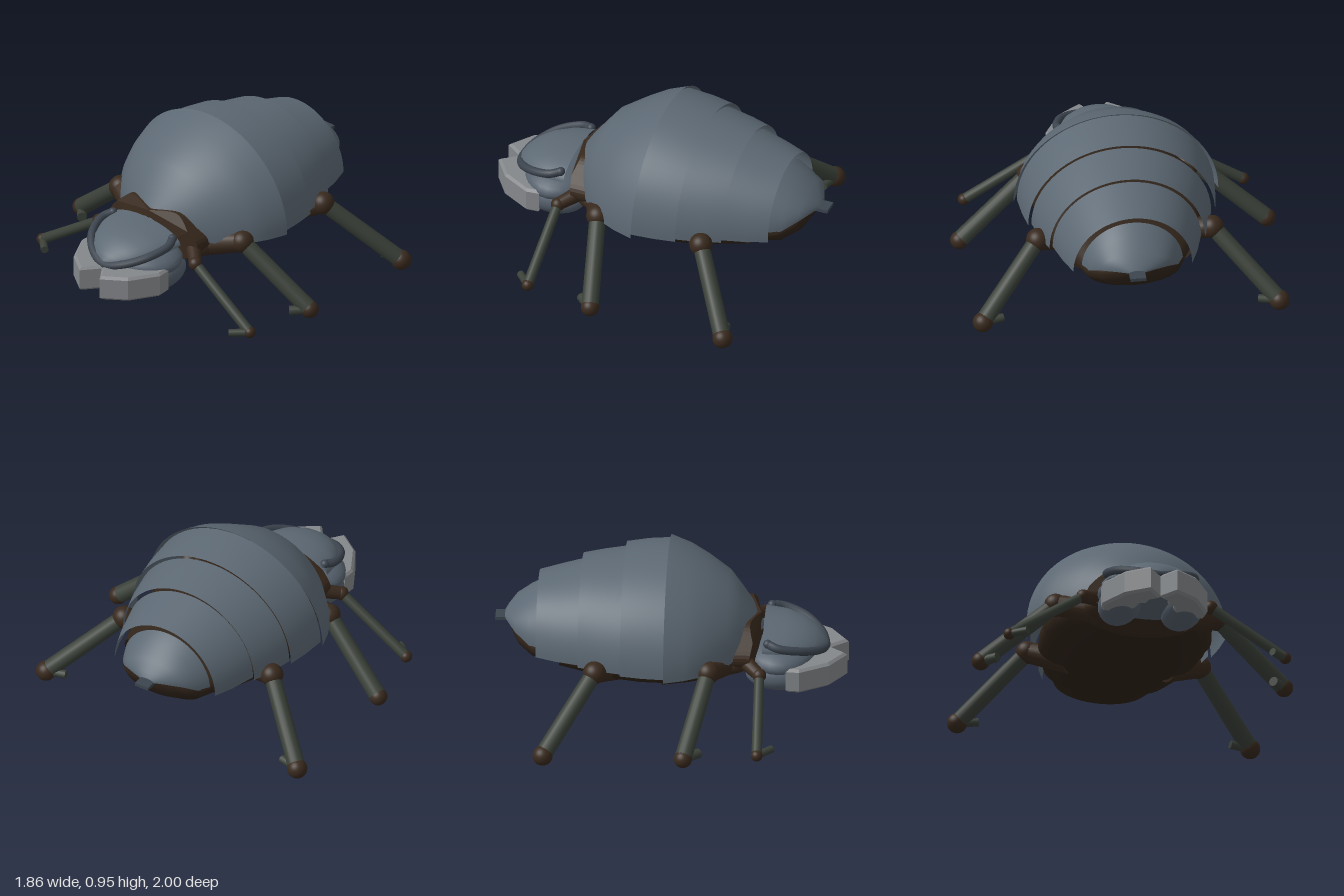
import * as THREE from 'three';

const mat = (color, extra = {}) => new THREE.MeshStandardMaterial({ color, ...extra });
const SHELL = mat(0x5c6873, { side: THREE.DoubleSide });
const HEAD = mat(0x56616d);
const RIM = mat(0x3c444e);
const BROWN = mat(0x38291d);
const BELLY = mat(0x30241a, { side: THREE.DoubleSide });
const LEG = mat(0x3a4038);
const JAW = mat(0x85888b);

// Skin of elliptical sections [z, centreY, halfWidth, height], listed front to back
function loft(sections, from, to, steps = 40) {
  const pos = [], idx = [];
  sections.forEach(([z, yc, w, h], i) => {
    for (let j = 0; j <= steps; j++) {
      const t = from + (to - from) * j / steps;
      pos.push(w * Math.cos(t), yc + h * Math.sin(t), z);
      if (i < sections.length - 1 && j < steps) {
        const a = i * (steps + 1) + j, d = a + steps + 1;
        idx.push(a, d, a + 1, a + 1, d, d + 1);
      }
    }
  });
  const g = new THREE.BufferGeometry();
  g.setAttribute('position', new THREE.Float32BufferAttribute(pos, 3));
  g.setIndex(idx);
  g.computeVertexNormals();
  return g;
}

export function createModel() {
  const model = new THREE.Group();
  const add = (name, geo, material, parent = model) => {
    const m = new THREE.Mesh(geo, material);
    m.name = name;
    parent.add(m);
    return m;
  };
  const ball = (name, p, r, material, parent) => {
    const m = add(name, new THREE.SphereGeometry(1, 28, 18), material, parent);
    m.position.set(...p);
    Array.isArray(r) ? m.scale.set(...r) : m.scale.setScalar(r);
    return m;
  };
  const rod = (name, p, q, r0, r1, material, parent) => {
    const a = new THREE.Vector3(...p), b = new THREE.Vector3(...q), d = b.clone().sub(a);
    const m = add(name, new THREE.CylinderGeometry(r1, r0, d.length(), 16), material, parent);
    m.position.copy(a).add(b).multiplyScalar(0.5);
    m.quaternion.setFromUnitVectors(new THREE.Vector3(0, 1, 0), d.normalize());
    return m;
  };

  // Overlapping back plates
  const plates = [
    [[0.53, 0.47, 0.01, 0.02], [0.46, 0.44, 0.2, 0.16], [0.4, 0.42, 0.29, 0.26], [0.33, 0.4, 0.385, 0.37],
      [0.2, 0.4, 0.5, 0.45], [0.1, 0.4, 0.55, 0.51], [-0.015, 0.4, 0.587, 0.555]],
    [[0, 0.41, 0.565, 0.53], [-0.14, 0.41, 0.555, 0.52], [-0.265, 0.41, 0.535, 0.5]],
    [[-0.25, 0.41, 0.515, 0.475], [-0.39, 0.41, 0.485, 0.455], [-0.51, 0.41, 0.445, 0.435]],
    [[-0.49, 0.41, 0.425, 0.405], [-0.64, 0.41, 0.385, 0.365], [-0.755, 0.41, 0.34, 0.335]],
    [[-0.73, 0.42, 0.29, 0.28], [-0.8, 0.44, 0.255, 0.22], [-0.88, 0.49, 0.195, 0.105],
      [-0.925, 0.5, 0.1, 0.045], [-0.945, 0.5, 0.045, 0.015]],
  ];
  plates.forEach((s, i) => add('backPlate' + (i + 1), loft(s, 0, Math.PI), SHELL));

  // Belly rings
  const rings = [
    [[0.42, 0.38, 0.05, 0.05], [0.4, 0.38, 0.24, 0.1], [0.28, 0.4, 0.36, 0.15]],
    [[0.3, 0.4, 0.37, 0.17], [0.12, 0.41, 0.46, 0.195], [-0.03, 0.41, 0.49, 0.21]],
    [[-0.01, 0.41, 0.48, 0.2], [-0.16, 0.41, 0.48, 0.195], [-0.31, 0.41, 0.46, 0.18]],
    [[-0.28, 0.41, 0.45, 0.175], [-0.45, 0.41, 0.42, 0.155], [-0.62, 0.41, 0.36, 0.125]],
    [[-0.6, 0.42, 0.35, 0.13], [-0.78, 0.42, 0.27, 0.115], [-0.86, 0.45, 0.2, 0.09],
      [-0.905, 0.48, 0.11, 0.05], [-0.91, 0.48, 0, 0]],
  ];
  rings.forEach((s, i) => add('bellyRing' + (i + 1), loft(s, 0, Math.PI * 2, 48), BELLY));

  // Tail tip
  const tail = add('tail', new THREE.BoxGeometry(0.09, 0.02, 0.1), RIM);
  tail.position.set(0, 0.49, -0.95);

  // Thorax and the wavy collar behind the head
  ball('thorax', [0, 0.36, 0.32], [0.34, 0.11, 0.22], BROWN);
  const half = [[0.13, 0.575], [0.2, 0.56], [0.27, 0.5], [0.33, 0.43], [0.31, 0.36], [0.2, 0.3]];
  const outline = [[0, 0.555], ...half, [0, 0.28], ...half.map(([x, y]) => [-x, y]).reverse()];
  const collarShape = new THREE.Shape();
  collarShape.setFromPoints(new THREE.SplineCurve(
    [...outline, outline[0]].map(([x, y]) => new THREE.Vector2(x, y))).getPoints(56));
  const collarGeo = new THREE.ExtrudeGeometry(collarShape, { depth: 0.12, bevelEnabled: false });
  const cp = collarGeo.attributes.position;
  for (let i = 0; i < cp.count; i++) {
    cp.setZ(i, cp.getZ(i) - 0.6 * Math.max(0, cp.getY(i) - 0.5) - 0.25 * Math.abs(cp.getX(i)));
  }
  collarGeo.computeVertexNormals();
  add('collar', collarGeo, BROWN).position.z = 0.425;

  // Head, cheeks and domed shield with its rim
  const head = new THREE.Group();
  head.name = 'head';
  model.add(head);
  ball('skull', [0, 0.34, 0.62], [0.305, 0.105, 0.22], HEAD, head);
  for (const s of [-1, 1]) ball('cheek', [s * 0.18, 0.27, 0.62], [0.12, 0.1, 0.19], HEAD, head);
  add('shield', loft([[0.89, 0.365, 0.01, 0.01], [0.865, 0.37, 0.09, 0.045], [0.82, 0.38, 0.15, 0.075],
    [0.75, 0.395, 0.205, 0.095], [0.65, 0.415, 0.245, 0.1], [0.53, 0.43, 0.265, 0.09]], 0, Math.PI), SHELL, head);
  const rim = [[0.23, 0.475, 0.56], [0.255, 0.46, 0.62], [0.215, 0.425, 0.75], [0.11, 0.38, 0.85]];
  const rimPath = new THREE.CatmullRomCurve3([...rim, [0, 0.355, 0.88],
    ...rim.map(([x, y, z]) => [-x, y, z]).reverse()].map(p => new THREE.Vector3(...p)));
  add('shieldRim', new THREE.TubeGeometry(rimPath, 48, 0.024, 10), RIM, head);
  for (const s of [-1, 1]) ball('rimEnd', [s * 0.23, 0.475, 0.56], 0.026, RIM, head);

  // Jaws: faceted plates with a notched inner edge
  const jaw = [[0.285, 0.68], [0.29, 0.74], [0.2, 0.9], [0.08, 0.985], [0.015, 0.9],
    [0.06, 0.87], [0.07, 0.82], [0.11, 0.81], [0.12, 0.74], [0.17, 0.68]];
  for (const s of [-1, 1]) {
    const shape = new THREE.Shape(jaw.map(([x, z]) => new THREE.Vector2(s * x, z)));
    const geo = new THREE.ExtrudeGeometry(shape, {
      depth: 0.12, bevelThickness: 0.015, bevelSize: 0.014, bevelSegments: 1 });
    const m = add(s > 0 ? 'leftJaw' : 'rightJaw', geo, JAW, head);
    m.rotation.x = Math.PI / 2;
    m.position.y = 0.335;
  }

  // Legs: root on the body, hip, foot, claw tip
  const legs = [
    { name: 'frontLeg', root: [0.26, 0.39, 0.42], hip: [0.37, 0.35, 0.52], foot: [0.8, 0.07, 0.53],
      claw: [0.71, 0.065, 0.61], hipR: 0.04, r: 0.03, footR: 0.034, clawR: 0.022 },
    { name: 'middleLeg', root: [0.25, 0.36, 0.32], hip: [0.47, 0.415, 0.235], foot: [0.88, 0.08, 0.115],
      claw: [0.8, 0.075, 0.2], hipR: 0.066, r: 0.05, footR: 0.052, clawR: 0.028 },
    { name: 'rearLeg', root: [0.28, 0.33, -0.3], hip: [0.5, 0.41, -0.41], foot: [0.85, 0.06, -0.685],
      claw: [0.73, 0.065, -0.66], hipR: 0.066, r: 0.05, footR: 0.058, clawR: 0.024 },
  ];
  for (const s of [-1, 1]) for (const l of legs) {
    const g = new THREE.Group();
    g.name = (s > 0 ? 'left ' : 'right ') + l.name;
    model.add(g);
    const side = ([x, y, z]) => [s * x, y, z];
    rod('coxa', side(l.root), side(l.hip), l.hipR * 1.15, l.hipR * 0.9, BROWN, g);
    ball('hip', side(l.hip), l.hipR, BROWN, g);
    rod('shin', side(l.hip), side(l.foot), l.r * 0.95, l.r, LEG, g);
    ball('foot', side(l.foot), l.footR, BROWN, g);
    rod('claw', side(l.foot), side(l.claw), l.clawR, l.clawR, LEG, g);
  }

  return model;
}
